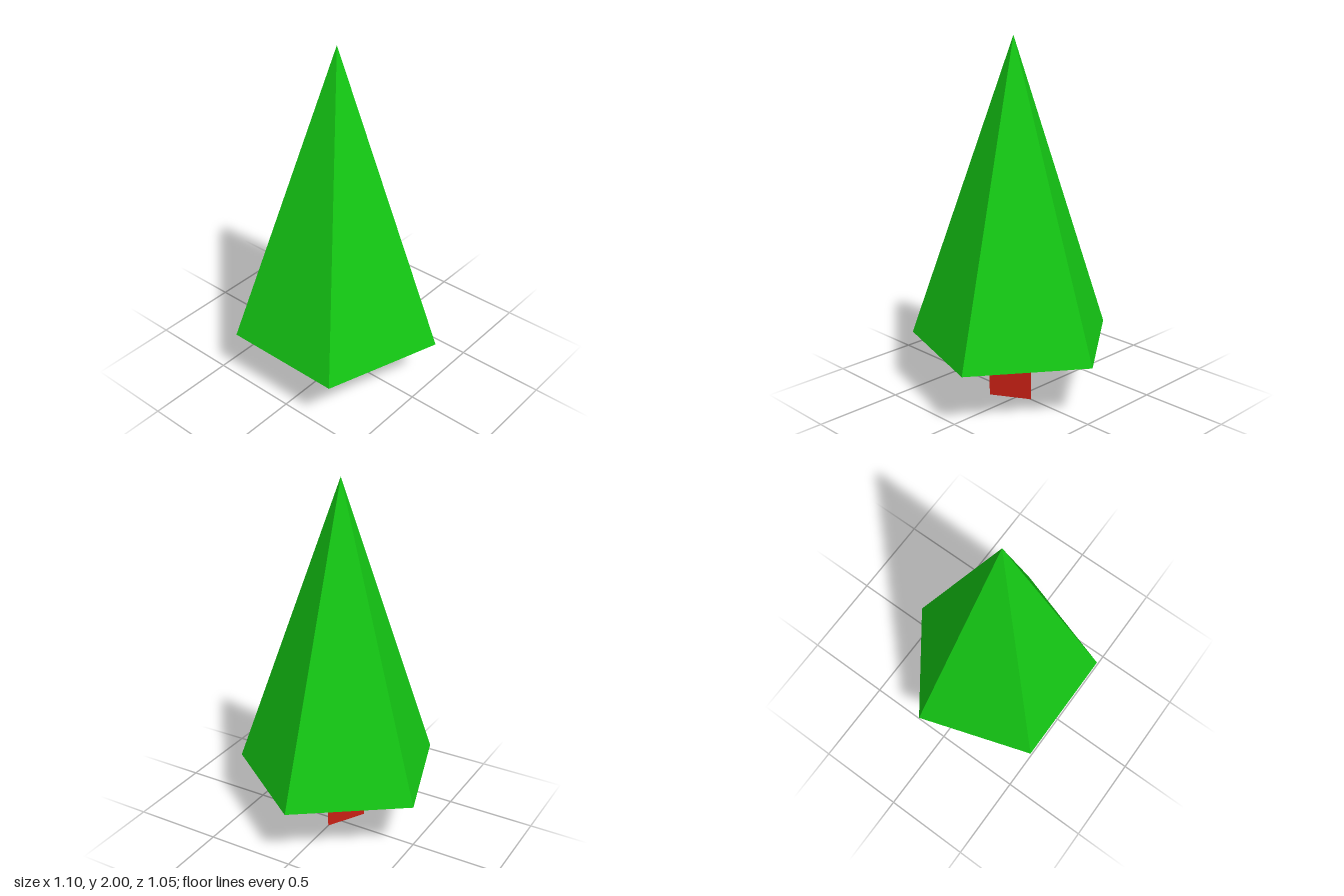
import * as THREE from 'three';

const CENTRE_Z = 0.055;

// Faceted, tapered prism with one corner pointing to the back
function prism(name, { top, bottom, sides, y0, y1, z, color, open }) {
  const geometry = new THREE.CylinderGeometry(top, bottom, y1 - y0, sides, 1, open, Math.PI);
  const material = new THREE.MeshStandardMaterial({
    color,
    flatShading: true,
    side: open ? THREE.DoubleSide : THREE.FrontSide,
  });
  const mesh = new THREE.Mesh(geometry, material);
  mesh.name = name;
  mesh.position.set(0, (y0 + y1) / 2, z);
  return mesh;
}

export function createModel() {
  const tree = new THREE.Group();
  tree.name = 'tree';

  // Five-sided hollow foliage, open underneath
  tree.add(prism('foliage', {
    top: 0, bottom: 0.58, sides: 5, y0: 0.33, y1: 2, z: CENTRE_Z, color: 0x14c814, open: true,
  }));

  // Three-sided trunk, flat face to the front, with a small gap below the foliage
  tree.add(prism('trunk', {
    top: 0.138, bottom: 0.138, sides: 3, y0: 0, y1: 0.275, z: CENTRE_Z + 0.005, color: 0xc82014, open: false,
  }));

  return tree;
}
